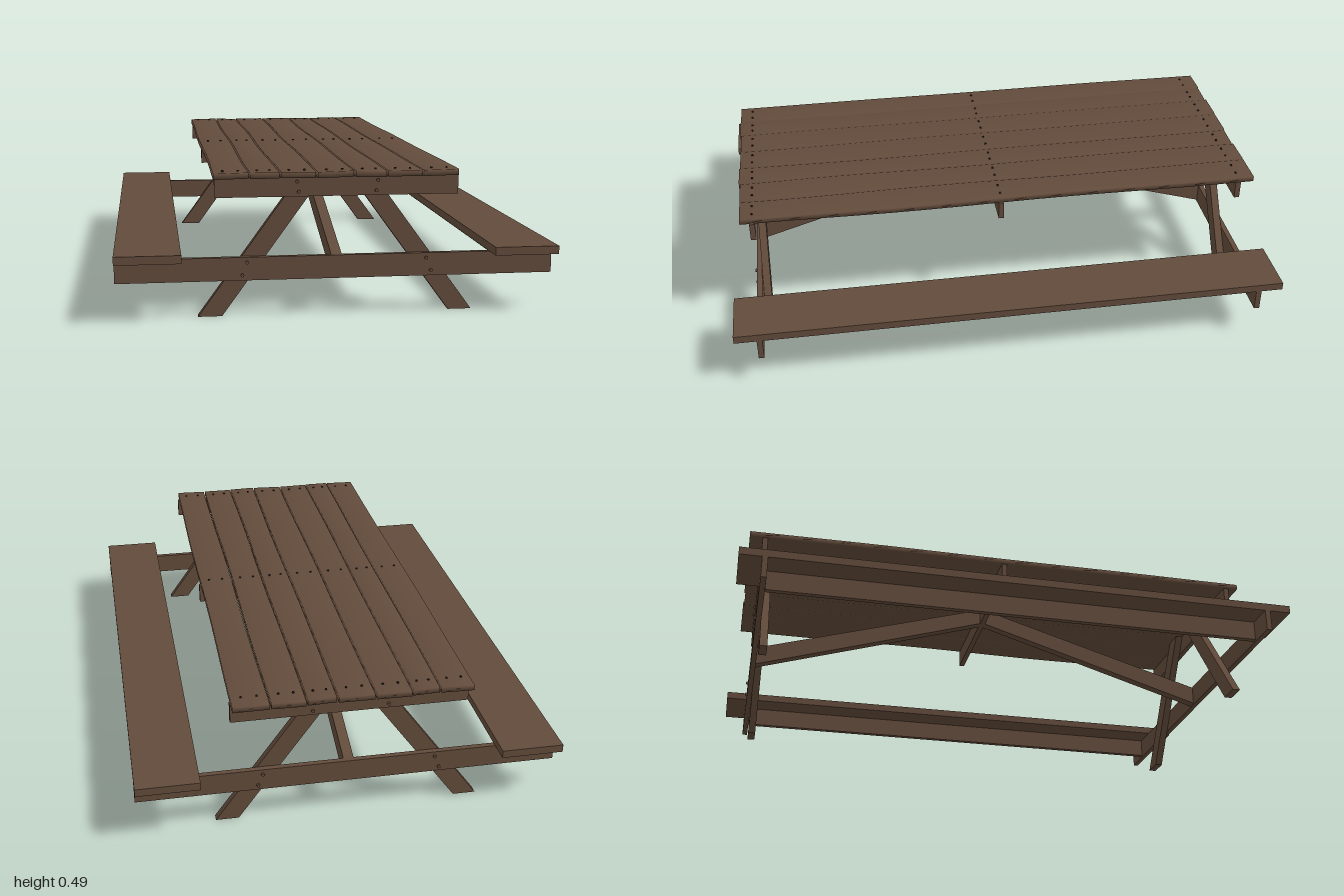
import * as THREE from 'three';
import { mergeVertices } from 'three/addons/utils/BufferGeometryUtils.js';

export function createModel() {
  const model = new THREE.Group();
  model.name = 'picnicTable';
  const wood = new THREE.MeshStandardMaterial({ name: 'brownWood', color: 0x624b3b });
  const iron = new THREE.MeshStandardMaterial({ name: 'darkIron', color: 0x2b241f });

  function add(name, geometry, material = wood) {
    const mesh = new THREE.Mesh(geometry, material);
    mesh.name = name;
    model.add(mesh);
    return mesh;
  }

  // box given by its limits on each axis
  function board(name, x0, x1, y0, y1, z0, z1) {
    const mesh = add(name, new THREE.BoxGeometry(x1 - x0, y1 - y0, z1 - z0));
    mesh.position.set((x0 + x1) / 2, (y0 + y1) / 2, (z0 + z1) / 2);
    return mesh;
  }

  // flat outline extruded to a thickness, centred on its plane
  function slab(points, depth) {
    const shape = new THREE.Shape(points.map(([x, y]) => new THREE.Vector2(x, y)));
    return new THREE.ExtrudeGeometry(shape, { depth, bevelEnabled: false }).translate(0, 0, -depth / 2);
  }

  // softly worn, slightly warped table planks
  const edges = [[-0.412, -0.298], [-0.293, -0.2], [-0.194, -0.077], [-0.071, 0.05],
    [0.056, 0.156], [0.162, 0.277], [0.283, 0.403]];
  const top = 0.488;
  edges.forEach(([x0, x1], i) => {
    let geometry = new THREE.BoxGeometry(x1 - x0, 0.02, 1.925, 1, 1, 14);
    geometry.deleteAttribute('normal');
    geometry.deleteAttribute('uv');
    geometry = mergeVertices(geometry);
    const p = geometry.attributes.position;
    for (let k = 0; k < p.count; k++) {
      const z = p.getZ(k), side = Math.sign(p.getX(k));
      p.setX(k, p.getX(k) + 0.002 * Math.sin(z * 5 + i * 1.9 + side));
      p.setY(k, p.getY(k) + 0.0015 * Math.sin(z * 6 + i * 2.3 + side * 1.4));
    }
    geometry.computeVertexNormals();
    add('tablePlank', geometry).position.set((x0 + x1) / 2, top - 0.01, -0.006 + 0.003 * Math.sin(i * 2));

    // two screws over each cleat
    for (const z of [-0.91, 0, 0.91]) {
      for (const t of [0.28, 0.72]) {
        const screw = add('screw', new THREE.CylinderGeometry(0.004, 0.004, 0.006, 8), iron);
        screw.position.set(x0 + (x1 - x0) * t, top + 0.001, z);
      }
    }
  });

  // centre cleat under the table top
  board('centreCleat', -0.408, 0.408, 0.402, 0.47, -0.01, 0.01);

  // seats with a stiffening board beneath
  for (const s of [-1, 1]) {
    const x = s * 0.629;
    board('seat', x - 0.109, x + 0.109, 0.202, 0.23, -1, 1);
    board('seatStiffener', x - 0.01, x + 0.01, 0.13, 0.203, -0.9, 0.9);
  }

  // end frames: cleat, crossbeam, splayed legs and diagonal brace
  for (const e of [-1, 1]) {
    const z = e * 0.911;
    board('endCleat', -0.408, 0.408, 0.402, 0.47, z - 0.01, z + 0.01);
    board('crossbeam', -0.738, 0.738, 0.124, 0.202, z - 0.01, z + 0.01);

    for (const s of [-1, 1]) {
      const outline = [[0.385, 0], [0.465, 0], [0.125, 0.468], [0.045, 0.468]]
        .map(([x, y]) => [s * x, y]);
      add('leg', slab(outline, 0.028)).position.z = e * 0.887;

      // bolts through the beams into the legs
      for (const [x, y] of [[0.302, 0.185], [0.318, 0.142], [0.135, 0.452], [0.13, 0.418]]) {
        const bolt = add('bolt', new THREE.CylinderGeometry(0.006, 0.006, 0.008, 8), wood);
        bolt.rotation.x = Math.PI / 2;
        bolt.position.set(s * x, y, e * 0.924);
      }
    }

    const brace = slab([[0, 0.405], [0.901, 0.13], [0.901, 0.2], [0, 0.468]], 0.036);
    add('diagonalBrace', brace).rotation.y = -e * Math.PI / 2;
  }
  return model;
}
